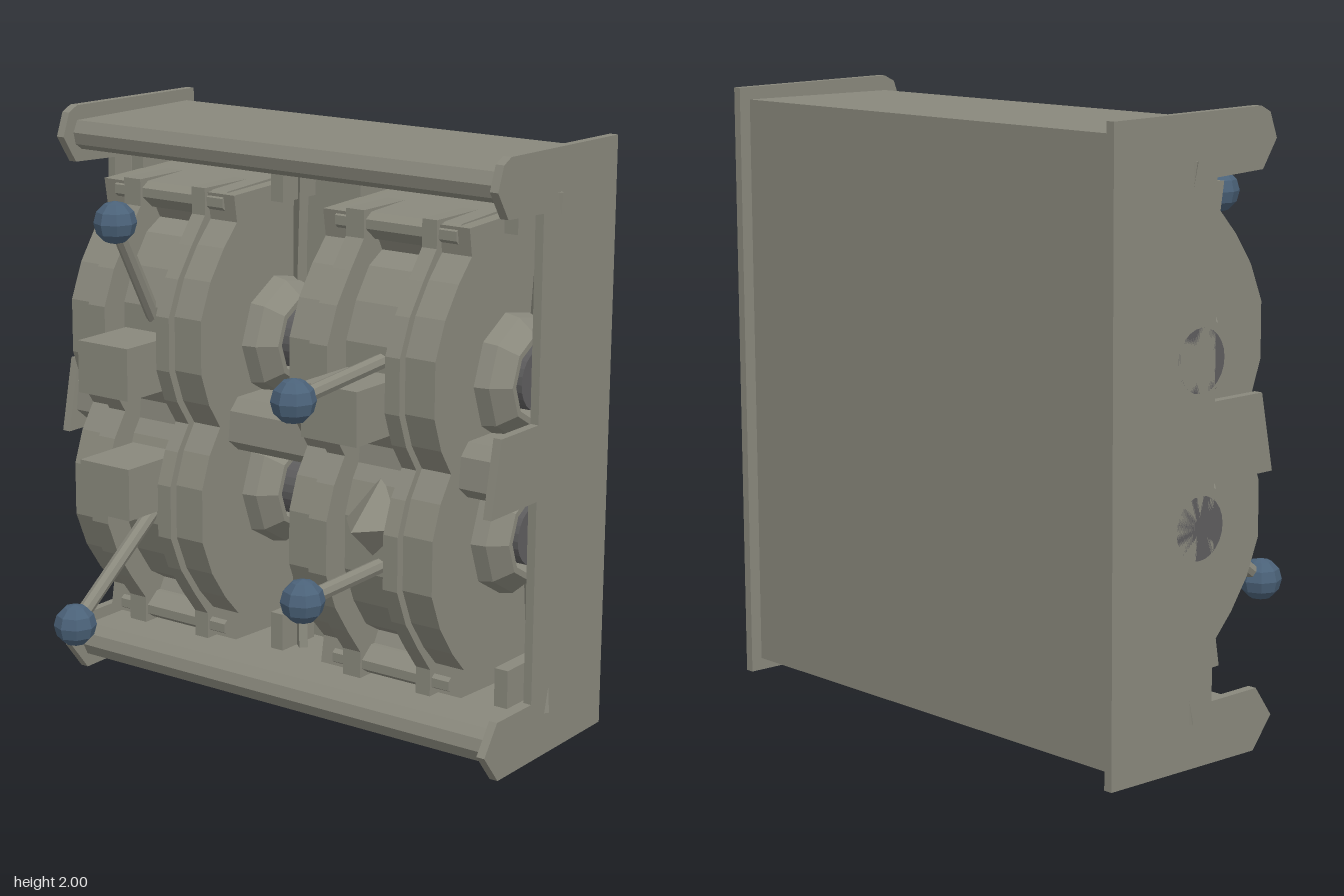
import * as THREE from 'three';

const body = new THREE.MeshStandardMaterial({ color: 0x89887c, flatShading: true });
body.name = 'warm grey metal';
const dark = new THREE.MeshStandardMaterial({ color: 0x5e5d5e, flatShading: true });
dark.name = 'dark axle metal';
const blue = new THREE.MeshStandardMaterial({ color: 0x4b6279, flatShading: true });
blue.name = 'blue knob';

export function createModel() {
  const model = new THREE.Group();
  model.name = 'leverPanel';

  const add = (geo, name, mat = body, parent = model) => {
    const mesh = new THREE.Mesh(geo, mat);
    mesh.name = name;
    parent.add(mesh);
    return mesh;
  };
  // Box given by its limits on each axis
  const box = (name, x0, x1, y0, y1, z0, z1, parent) =>
    add(new THREE.BoxGeometry(x1 - x0, y1 - y0, z1 - z0), name, body, parent)
      .position.set((x0 + x1) / 2, (y0 + y1) / 2, (z0 + z1) / 2);
  // [z, y] outline extruded from x0 to x1, with an optional round hole [z, y, r]
  const slab = (name, pts, x0, x1, hole, parent) => {
    const shape = new THREE.Shape(pts.map(([z, y]) => new THREE.Vector2(z, y)));
    if (hole) shape.holes.push(new THREE.Path().absarc(hole[0], hole[1], hole[2], 0, Math.PI * 2, true));
    const geo = new THREE.ExtrudeGeometry(shape, { depth: x1 - x0, bevelEnabled: false, curveSegments: 5 });
    geo.rotateY(-Math.PI / 2).translate(x1, 0, 0);
    return add(geo, name, body, parent);
  };

  // Casing
  box('backCase', -0.86, 0.86, 0.05, 1.95, -0.58, -0.4);
  const rail = [[-0.4, 1.95], [0, 1.95], [0.02, 1.91], [0.01, 1.87], [-0.02, 1.85], [-0.4, 1.85]];
  slab('topRail', rail, -0.86, 0.86);
  slab('bottomRail', rail.map(([z, y]) => [z, 2.0 - y]).map(([z, y]) => [z, y + (y > 0.14 ? 0.01 : 0)]), -0.86, 0.86);
  slab('middleRail', [[-0.4, 0.91], [-0.02, 0.91], [0.03, 0.95], [0.02, 1.05], [-0.02, 1.09], [-0.4, 1.09]], -0.86, 0.86);

  // Hooked side plates
  const plate = [[-0.62, 0.01], [0, 0], [0.08, 0.1], [0.01, 0.2], [-0.19, 0.2], [-0.19, 0.88], [0.07, 0.88],
    [0.02, 1.13], [-0.19, 1.13], [-0.19, 1.8], [0.01, 1.81], [0.07, 1.9], [0.04, 1.98], [0, 2], [-0.62, 1.99]];
  slab('rightSidePlate', plate, -0.88, -0.85);
  slab('leftSidePlate', plate, 0.85, 0.88);

  // Leaning ribs on the inner panel
  for (const s of [-1, 1]) {
    for (const [xa, xb] of [[0.13, 0.2], [0.84, 0.75]]) {
      for (const up of [false, true]) {
        const y = (v) => (up ? v : 2 - v);
        const a = new THREE.Vector3(s * xa, y(1.86), -0.3);
        const b = new THREE.Vector3(s * xb, y(1.06), -0.36);
        const rib = add(new THREE.BoxGeometry(0.03, 0.1, a.distanceTo(b)), 'panelRib');
        rib.position.copy(a).add(b).multiplyScalar(0.5);
        rib.lookAt(b);
      }
    }
  }

  // Drums: side profile set back by d at the front, flipped for the lower row
  const axleZ = -0.25;
  const profile = (d, lower) => [[-0.4, 1.78], [Math.min(0.01, 0.01 - d / 2), 1.78 - d / 2], [0.01 - d, 1.69 - d / 2],
    [0.08 - d, 1.6], [0.15 - d, 1.5], [0.2 - d, 1.38], [0.2 - d, 1.2], [0.16 - d, 1.09], [0.1 - d, 1.0],
    [0.02 - d, 0.91], [-0.4, 0.91]].map(([z, y]) => [z, lower ? 2.01 - y : y]);

  // x limits and setback of each band, relative to the drum centre
  const bands = [['outerBand', -0.28, -0.18, 0.03], ['flange', -0.18, -0.11, 0], ['coreBand', -0.11, 0.11, 0.1],
    ['flange', 0.11, 0.165, 0], ['outerBand', 0.165, 0.275, 0.03]];

  for (const lower of [false, true]) {
    const cy = lower ? 0.75 : 1.26;
    const flip = (y) => (lower ? 2.01 - y : y);

    const axle = add(new THREE.CylinderGeometry(0.1, 0.1, 1.72, 24), 'axle', dark);
    axle.rotation.z = Math.PI / 2;
    axle.position.set(-0.02, cy, axleZ);

    for (const cx of [-0.457, 0.457]) {
      const drum = new THREE.Group();
      drum.name = lower ? 'lowerDrum' : 'upperDrum';
      drum.position.x = cx;
      model.add(drum);

      for (const [name, x0, x1, d] of bands) {
        slab(name, profile(d, lower), x0, x1, [axleZ, cy, 0.15], drum);
      }

      // Hollow tapered hubs on both ends
      for (const s of [-1, 1]) {
        const ring = [[0.13, 0], [0.21, 0], [0.2, 0.05], [0.15, 0.105], [0.13, 0.105], [0.13, 0]];
        const hub = add(new THREE.LatheGeometry(ring.map(([r, h]) => new THREE.Vector2(r, h)), 9), 'hub', body, drum);
        hub.rotation.z = -s * Math.PI / 2;
        hub.position.set(s * 0.277, cy, axleZ);
      }

      // Guard lip and struts between the drum and the rail
      const lip = [[-0.4, 1.79], [-0.03, 1.77], [0, 1.75], [0, 1.72], [-0.05, 1.68], [-0.4, 1.68]];
      slab('guardLip', lip.map(([z, y]) => [z, flip(y)]), -0.23, 0.23, null, drum);
      for (const x of [-0.3, 0.3]) {
        const ys = [flip(1.72), flip(1.86)].sort((a, b) => a - b);
        box('strut', x - 0.025, x + 0.025, ys[0], ys[1], -0.38, -0.2, drum);
      }

      // Square stop block, or a pointed wedge on the last drum
      if (lower && cx > 0) {
        const wedge = add(new THREE.ConeGeometry(0.14, 0.16, 4, 1), 'wedge', body, drum);
        wedge.rotation.set(Math.PI / 2, 0, 0);
        wedge.position.set(0, 0.8, 0.14);
      } else {
        const y0 = lower ? 0.715 : 1.12;
        box('stopBlock', -0.105, 0.105, y0, y0 + 0.175, 0, 0.34, drum);
      }
    }
  }

  // Levers: rod from base to knob
  const levers = [
    [[-0.455, 1.34, 0.08], [-0.445, 1.69, 0.28]],
    [[0.48, 1.335, 0.06], [0.485, 1.3, 0.555]],
    [[0.48, 0.665, 0.06], [0.48, 0.655, 0.5]],
    [[-0.46, 0.69, 0.07], [-0.455, 0.38, 0.5]],
  ];
  for (const [from, to] of levers) {
    const a = new THREE.Vector3(...from), b = new THREE.Vector3(...to);
    const lever = new THREE.Group();
    lever.name = 'lever';
    model.add(lever);
    const rod = add(new THREE.CylinderGeometry(0.025, 0.025, a.distanceTo(b), 8), 'rod', body, lever);
    rod.position.copy(a).add(b).multiplyScalar(0.5);
    rod.quaternion.setFromUnitVectors(new THREE.Vector3(0, 1, 0), b.clone().sub(a).normalize());
    add(new THREE.SphereGeometry(0.071, 8, 6), 'knob', blue, lever).position.copy(b);
  }
  return model;
}
